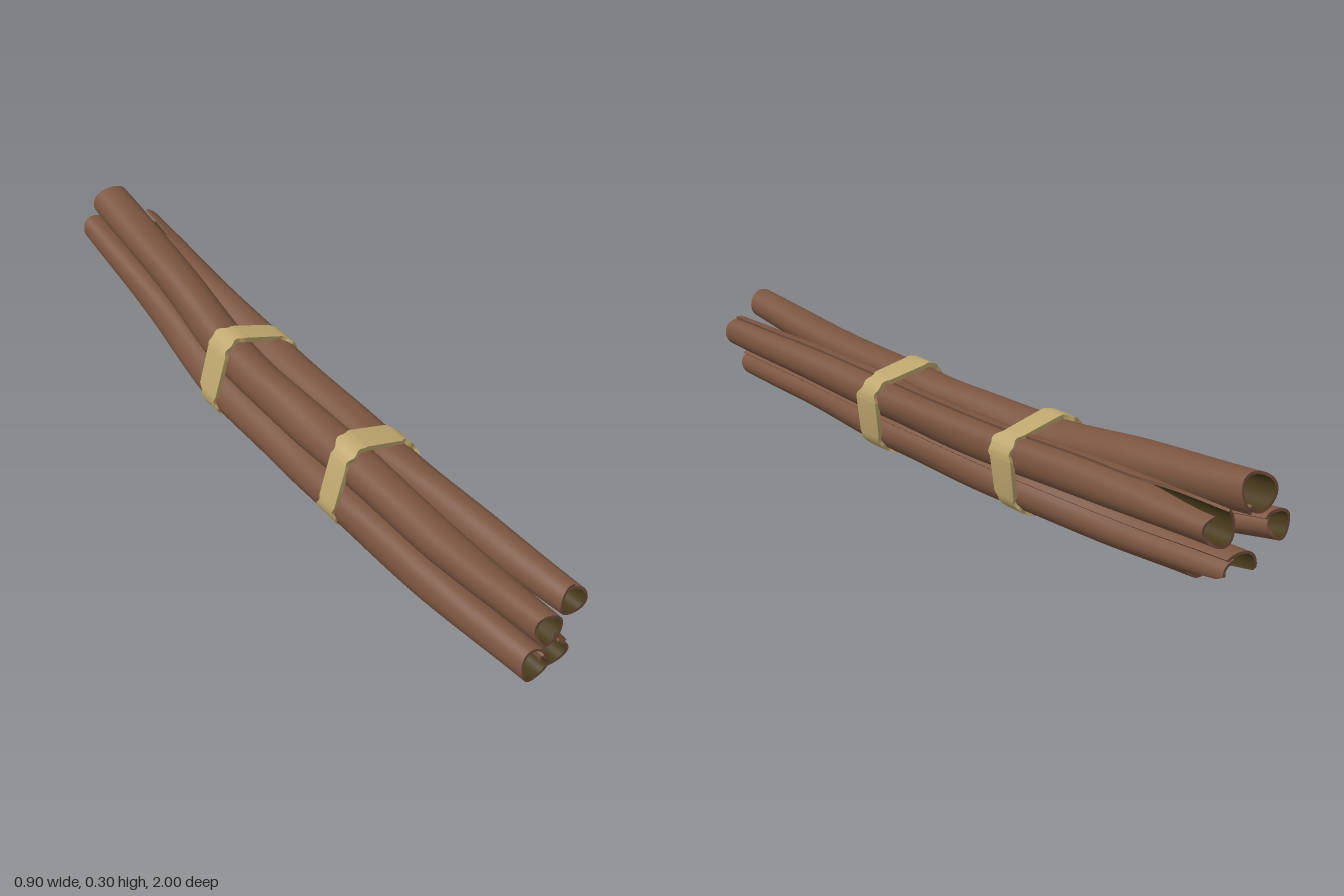
import * as THREE from 'three';
import { mergeGeometries, toCreasedNormals } from 'three/addons/utils/BufferGeometryUtils.js';

const mat = (name, color) => new THREE.MeshStandardMaterial({ name, color, side: THREE.DoubleSide });

// Smooth sheet of rows x cols quads; fn(u, v) gives each point
function grid(rows, cols, fn) {
  const pos = [], idx = [];
  for (let i = 0; i <= rows; i++) {
    for (let j = 0; j <= cols; j++) pos.push(...fn(i / rows, j / cols).toArray());
  }
  for (let i = 0; i < rows; i++) {
    for (let j = 0; j < cols; j++) {
      const a = i * (cols + 1) + j, b = a + cols + 1;
      idx.push(a, a + 1, b, a + 1, b + 1, b);
    }
  }
  const g = new THREE.BufferGeometry();
  g.setAttribute('position', new THREE.Float32BufferAttribute(pos, 3));
  g.setIndex(idx);
  g.computeVertexNormals();
  return g;
}

// Curled bark stick: a scroll section swept along a spine of [x, y, z, radius].
// seam is the angle of the slit, slit its opening at the back end,
// cut how far the underside of the back end is cut away.
function makeStick({ name, seam, slit, cut, points }, bark, hollow) {
  const curve = new THREE.CatmullRomCurve3(points.map(p => new THREE.Vector3(p[0], p[1], p[2])));
  const wall = 0.007, up = new THREE.Vector3(0, 1, 0);
  const surface = (u, v, inset) => {
    const p = curve.getPoint(u), t = curve.getTangent(u);
    const side = new THREE.Vector3().crossVectors(up, t).normalize();
    const rise = new THREE.Vector3().crossVectors(t, side);
    const f = u * (points.length - 1), k = Math.min(Math.floor(f), points.length - 2);
    let r = THREE.MathUtils.lerp(points[k][3], points[k + 1][3], f - k);
    const gap = THREE.MathUtils.lerp(slit, -0.5, THREE.MathUtils.smoothstep(u, 0, 0.14));
    const a = seam + gap / 2 + v * (Math.PI * 2 - gap);
    // gentle unevenness, with the last part of the scroll tucked inside
    r *= 1 + 0.025 * Math.sin(3 * a + 9 * u + seam) + 0.02 * Math.sin(23 * u + 2 * a);
    r *= 1 - 0.22 * THREE.MathUtils.smoothstep(v, 0.78, 1);
    // ragged ends and stepped, cut-away underside
    const shift = 0.005 * Math.sin(2 * a + seam) * Math.pow(2 * u - 1, 8) +
      cut * THREE.MathUtils.smoothstep(-Math.sin(a), 0.1, 0.6) * Math.pow(1 - u, 8);
    return p.addScaledVector(side, (r - inset) * Math.cos(a))
      .addScaledVector(rise, (r - inset) * Math.sin(a))
      .addScaledVector(t, shift);
  };
  const outer = mergeGeometries([
    grid(48, 36, (u, v) => surface(u, v, 0)),
    grid(1, 36, (u, v) => surface(0, v, wall * (1 - u))),
    grid(1, 36, (u, v) => surface(1, v, wall * u)),
    grid(48, 1, (u, v) => surface(u, 0, wall * (1 - v))),
    grid(48, 1, (u, v) => surface(u, 1, wall * v)),
  ]);
  const inner = grid(48, 36, (u, v) => surface(u, 1 - v, wall));
  const stick = new THREE.Group();
  stick.name = name;
  const barkMesh = new THREE.Mesh(outer, bark), hollowMesh = new THREE.Mesh(inner, hollow);
  barkMesh.name = name + 'Bark';
  hollowMesh.name = name + 'Hollow';
  stick.add(barkMesh, hollowMesh);
  return stick;
}

// Flat tie pulled taut round the four sticks, with uneven edges;
// lift raises it over the topmost stick
function makeTie(name, x, z, lift, phase, material) {
  // stick centres and radii: [sideways, height, radius]
  const middle = [[-0.037, 0.152 + lift, 0.054], [0.06, 0.141, 0.053], [-0.066, 0.062 + lift / 2, 0.053], [0.05, 0.057, 0.053]];
  const section = [[-1, -0.006], [-1, 0.006], [1, 0.006], [1, -0.006], [-1, -0.006]];
  const g = grid(90, 4, (u, v) => {
    const a = u * Math.PI * 2, c = Math.cos(a), s = Math.sin(a);
    const [w, out] = section[Math.round(v * 4)];
    // the stick reaching furthest in this direction carries the tie
    const reach = m => m[0] * c + m[1] * s + m[2];
    const m = middle.reduce((best, q) => (reach(q) > reach(best) ? q : best));
    const along = w * (0.036 + 0.005 * Math.sin(3 * a + phase)) + 0.008 * Math.sin(2 * a + phase) +
      0.004 * Math.sin(9 * a + w);
    return new THREE.Vector3(m[0] + (m[2] + out) * c, m[1] + (m[2] + out) * s, along);
  });
  const mesh = new THREE.Mesh(toCreasedNormals(g, 0.7), material);
  mesh.name = name;
  mesh.position.set(x, 0, z);
  mesh.rotation.y = Math.atan(0.37);
  return mesh;
}

export function createModel() {
  const bark = mat('bark brown', 0x7a543f);
  const hollow = mat('hollow dark olive', 0x483a1a);
  const twine = mat('tie tan', 0xbea66e);
  const model = new THREE.Group();
  model.name = 'stickBundle';

  // Four sticks, listed from back end to front end
  const sticks = [
    { name: 'upperRightStick', seam: -0.9, slit: -0.3, cut: 0, points: [
      [-0.372, 0.25, -0.98, 0.049], [-0.245, 0.204, -0.6, 0.052], [-0.147, 0.159, -0.28, 0.053],
      [-0.042, 0.15, 0, 0.053], [0.055, 0.152, 0.25, 0.053], [0.178, 0.16, 0.6, 0.047],
      [0.322, 0.192, 0.99, 0.038]] },
    { name: 'upperLeftStick', seam: 1.6, slit: 1.1, cut: 0, points: [
      [-0.288, 0.18, -0.98, 0.045], [-0.162, 0.16, -0.6, 0.05], [-0.044, 0.143, -0.28, 0.052],
      [0.064, 0.138, 0, 0.052], [0.156, 0.14, 0.25, 0.053], [0.28, 0.148, 0.55, 0.048],
      [0.414, 0.157, 0.86, 0.039]] },
    { name: 'lowerRightStick', seam: 0.6, slit: -0.2, cut: 0, points: [
      [-0.42, 0.177, -0.98, 0.035], [-0.29, 0.12, -0.64, 0.046], [-0.175, 0.07, -0.28, 0.053],
      [-0.068, 0.058, 0, 0.053], [0.024, 0.058, 0.25, 0.053], [0.16, 0.057, 0.6, 0.048],
      [0.31, 0.06, 0.945, 0.041]] },
    { name: 'lowerLeftStick', seam: 0.9, slit: -0.3, cut: 0.14, points: [
      [-0.338, 0.075, -0.98, 0.049], [-0.195, 0.057, -0.6, 0.052], [-0.055, 0.056, -0.28, 0.052],
      [0.053, 0.056, 0, 0.052], [0.145, 0.056, 0.25, 0.052], [0.25, 0.055, 0.58, 0.046],
      [0.365, 0.056, 0.9, 0.039]] },
  ];
  for (const stick of sticks) model.add(makeStick(stick, bark, hollow));

  // Two ties
  model.add(makeTie('backTie', -0.108, -0.28, 0.015, 0.5, twine));
  model.add(makeTie('frontTie', 0.092, 0.24, 0.008, 2.4, twine));
  return model;
}
